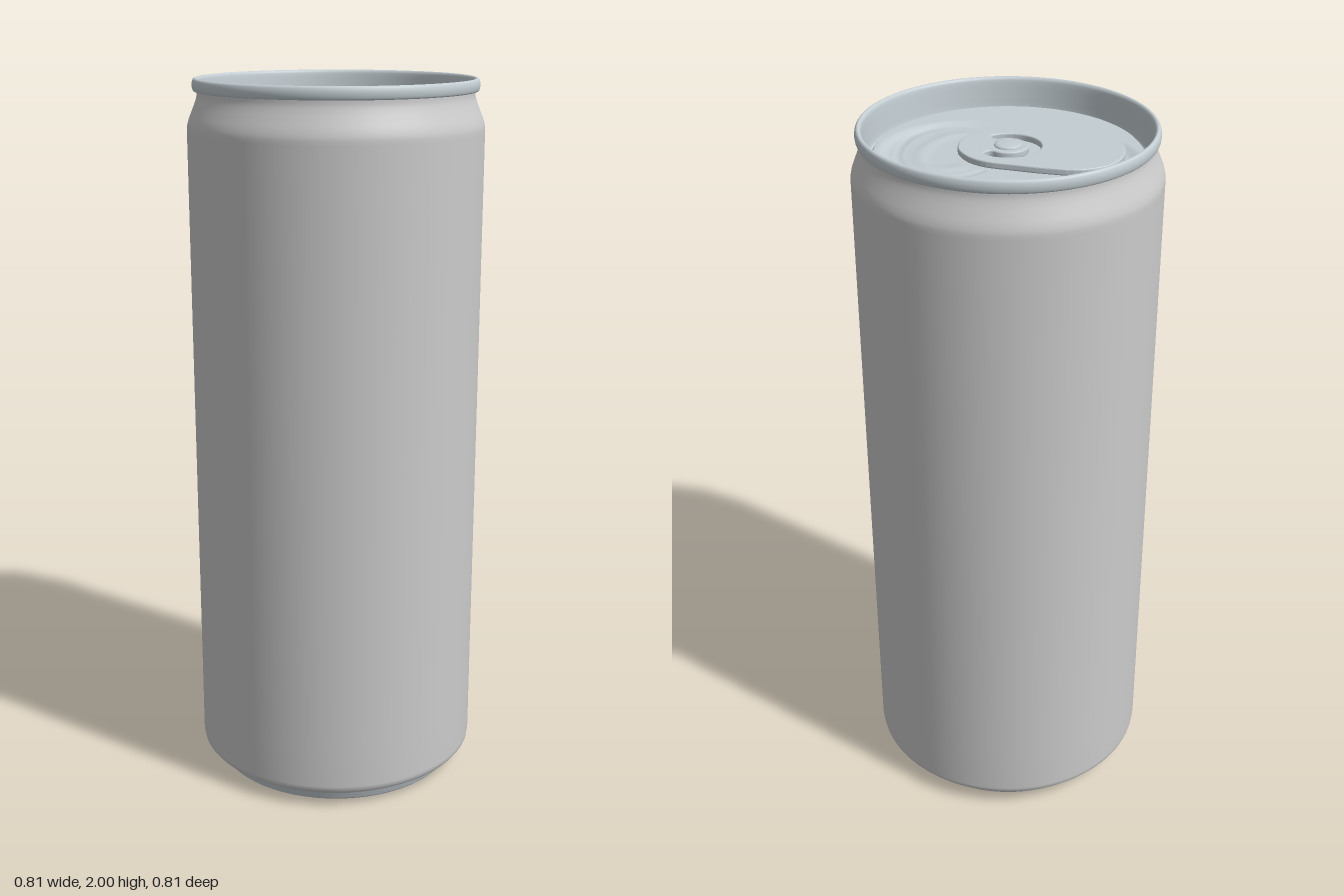
import * as THREE from 'three';
import { mergeVertices } from 'three/addons/utils/BufferGeometryUtils.js';

const body = new THREE.MeshStandardMaterial({ color: 0xcccccc });
const metal = new THREE.MeshStandardMaterial({ color: 0xc3cdd2 });

const PANEL_Y = 1.927, PANEL_R = 0.345;
const v2 = (pts) => pts.map(([x, y]) => new THREE.Vector2(x, y));
const spline = (pts, n = 60) => new THREE.SplineCurve(v2(pts)).getPoints(n);

function add(group, name, geometry, material) {
  const mesh = new THREE.Mesh(geometry, material);
  mesh.name = name;
  group.add(mesh);
  return mesh;
}

const lathe = (pts, smooth = 0) =>
  new THREE.LatheGeometry(smooth ? spline(pts, smooth) : v2(pts), 96);

// closed loop through points given as [x, z]
function loop(pts, Type = THREE.Shape) {
  const curve = new THREE.CatmullRomCurve3(pts.map(([x, z]) => new THREE.Vector3(x, z, 0)), true, 'centripetal');
  return new Type(curve.getPoints(72).slice(0, -1).map((p) => new THREE.Vector2(p.x, p.y)));
}

// signed distance to a hull of two circles
function hullDistance(p, a, ra, b, rb) {
  const ab = b.clone().sub(a), l = ab.length();
  const u = ab.divideScalar(l), d = p.clone().sub(a);
  const along = d.dot(u), across = Math.abs(d.cross(u));
  const s = (ra - rb) / l, c = Math.sqrt(1 - s * s);
  const k = along * c - across * s;
  if (k < 0) return d.length() - ra;
  if (k > l * c) return p.distanceTo(b) - rb;
  return across * c + along * s - ra;
}

// end panel with a sunk teardrop, a scored mouth and a raised bead
function panelGeometry() {
  const g = new THREE.RingGeometry(0.0005, PANEL_R, 180, 70);
  g.rotateX(-Math.PI / 2);
  const a = new THREE.Vector2(-0.17, 0.06), b = new THREE.Vector2(0.1, -0.05);
  const score = spline([[0, -0.13], [0.03, -0.19], [0.12, -0.228], [0.21, -0.185], [0.265, -0.1],
    [0.284, 0], [0.25, 0.09], [0.18, 0.13], [0.08, 0.14]], 120);
  const bead = spline([[0.06, -0.14], [0.09, -0.17], [0.14, -0.175], [0.185, -0.13], [0.21, -0.05],
    [0.2, 0.04], [0.16, 0.08], [0.12, 0.08]], 80);
  const near = (p, line) => line.reduce((m, q) => Math.min(m, p.distanceTo(q)), 1);
  const pos = g.attributes.position, p = new THREE.Vector2();
  for (let i = 0; i < pos.count; i++) {
    p.set(pos.getX(i), pos.getZ(i));
    const sink = 1 - THREE.MathUtils.smoothstep(hullDistance(p, a, 0.145, b, 0.21), -0.02, 0.015);
    const groove = 1 - THREE.MathUtils.smoothstep(near(p, score), 0.006, 0.012);
    const raised = Math.exp(-((near(p, bead) / 0.018) ** 2));
    pos.setY(i, PANEL_Y - 0.009 * sink - 0.002 * groove + 0.003 * raised);
  }
  g.deleteAttribute('uv');
  g.deleteAttribute('normal');
  const merged = mergeVertices(g, 1e-5);
  merged.computeVertexNormals();
  return merged;
}

// pull tab plate with finger hole and C-shaped slot
function tabGeometry() {
  const shape = loop([[0.13, 0], [0.105, -0.075], [0.055, -0.115], [0, -0.126], [-0.08, -0.11], [-0.16, -0.09],
    [-0.24, -0.058], [-0.285, 0], [-0.293, 0.06], [-0.27, 0.13], [-0.225, 0.175], [-0.165, 0.188],
    [-0.09, 0.172], [0, 0.14], [0.065, 0.11], [0.115, 0.06]]);
  const finger = loop([[-0.185, -0.038], [-0.23, -0.015], [-0.258, 0.03], [-0.25, 0.08], [-0.215, 0.13],
    [-0.165, 0.149], [-0.122, 0.143], [-0.11, 0.11], [-0.125, 0.04], [-0.15, -0.02]], THREE.Path);
  const slot = new THREE.Path();
  const a0 = 0.65, a1 = 2 * Math.PI - 1.4, mid = 0.07, half = 0.016;
  slot.absarc(0, 0, mid + half, a0, a1, false);
  slot.absarc(mid * Math.cos(a1), mid * Math.sin(a1), half, a1, a1 + Math.PI, false);
  slot.absarc(0, 0, mid - half, a1, a0, true);
  slot.absarc(mid * Math.cos(a0), mid * Math.sin(a0), half, a0 + Math.PI, a0 + 2 * Math.PI, false);
  shape.holes.push(finger, slot);
  const g = new THREE.ExtrudeGeometry(shape, {
    depth: 0.01, bevelEnabled: true, bevelThickness: 0.004, bevelSize: 0.004, bevelOffset: -0.004,
    bevelSegments: 3, curveSegments: 24,
  });
  return g.rotateX(Math.PI / 2);
}

export function createModel() {
  const can = new THREE.Group();
  can.name = 'drinkCan';

  // straight wall with rounded ends, then the tapered neck
  add(can, 'wall', lathe([[0.385, 0.043], [0.396, 0.048], [0.403, 0.057], [0.405, 0.07],
    [0.405, 0.2], [0.405, 1.0], [0.405, 1.7], [0.405, 1.86]]), body);
  add(can, 'neck', lathe([[0.405, 1.86], [0.404, 1.875], [0.399, 1.893], [0.39, 1.915],
    [0.382, 1.935], [0.377, 1.952], [0.376, 1.968]], 24), body);

  // domed underside and foot ring
  add(can, 'base', lathe([[0, 0.105], [0.08, 0.101], [0.16, 0.089], [0.24, 0.066], [0.295, 0.04],
    [0.322, 0.015], [0.334, 0.002], [0.345, 0], [0.355, 0.004], [0.361, 0.018],
    [0.368, 0.033], [0.385, 0.043]], 60), metal);

  // rolled rim, inner wall and countersunk groove
  add(can, 'rim', lathe([[0.374, 1.966], [0.384, 1.966], [0.388, 1.973], [0.389, 1.985], [0.386, 1.996],
    [0.38, 2.0], [0.374, 1.996], [0.371, 1.985], [0.368, 1.95], [0.365, 1.918], [0.36, 1.908],
    [0.354, 1.91], [0.35, 1.921], [PANEL_R, PANEL_Y]], 72), metal);

  const lid = new THREE.Group();
  lid.name = 'lid';
  can.add(lid);
  add(lid, 'endPanel', panelGeometry(), metal);
  add(lid, 'pullTab', tabGeometry(), metal).position.y = 1.939;
  add(lid, 'rivet', lathe([[0.036, 1.915], [0.036, 1.943], [0.034, 1.947], [0.028, 1.949], [0, 1.95]]), metal);

  return can;
}
